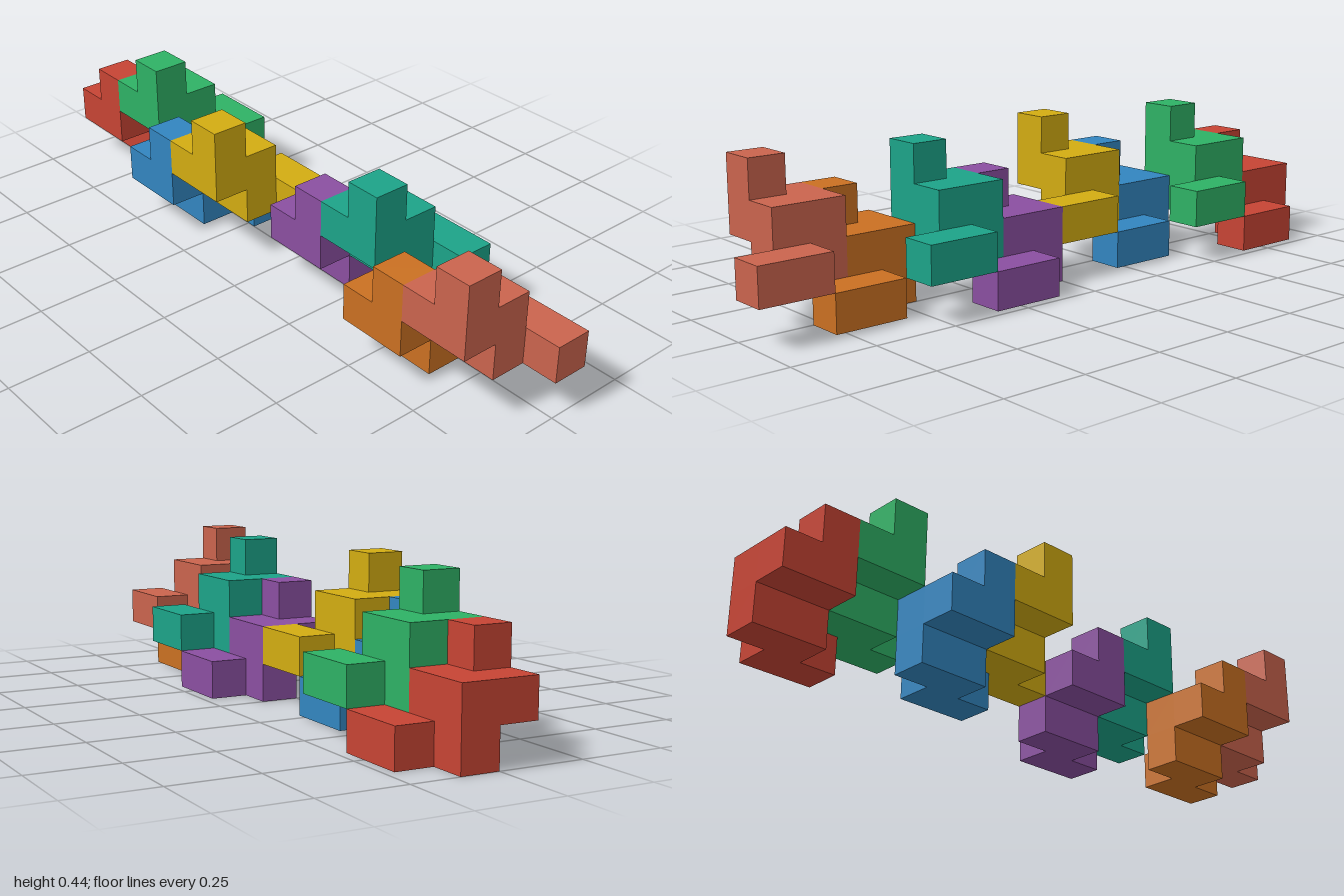
import * as THREE from 'three';
import { mergeGeometries } from 'three/addons/utils/BufferGeometryUtils.js';

const U = 1 / 9; // edge of one cube cell

// Cells of one interlocking piece: [x, y, z]
const CELLS = [
  [1, 0, -2], [2, 0, -2], [0, 0, -1], [1, 0, -1], // foot
  [0, 1, -1], [1, 1, -1], [0, 1, 0], [1, 1, 0],   // body
  [1, 2, 0],                                      // peg
];

// Face directions with the turn (about x, about y) that aims a +z plane there
const H = Math.PI / 2;
const FACES = [
  [[0, 0, 1], 0, 0], [[0, 0, -1], 0, Math.PI],
  [[1, 0, 0], 0, H], [[-1, 0, 0], 0, -H],
  [[0, 1, 0], -H, 0], [[0, -1, 0], H, 0],
];

// Closed shell of the piece: only faces with no neighbouring cell
function pieceGeometry() {
  const filled = new Set(CELLS.map(String));
  const parts = [];
  for (const c of CELLS) {
    for (const [d, rx, ry] of FACES) {
      if (filled.has(String(c.map((v, i) => v + d[i])))) continue;
      parts.push(new THREE.PlaneGeometry(U, U)
        .translate(0, 0, U / 2).rotateX(rx).rotateY(ry)
        .translate(...c.map((v) => (v + 0.5) * U)));
    }
  }
  return mergeGeometries(parts);
}

// Name, colour and cell offset of each piece
const PIECES = [
  ['redPiece', 0xc64434, [-9, 0, 0]],
  ['greenPiece', 0x2eb165, [-7, 1, 0]],
  ['bluePiece', 0x3285bf, [-5, 0, 1]],
  ['yellowPiece', 0xd2ac12, [-3, 1, 1]],
  ['purplePiece', 0x8a4fa0, [0, 0, 0]],
  ['tealPiece', 0x1ca388, [2, 1, 0]],
  ['orangePiece', 0xca7022, [4, 0, 1]],
  ['salmonPiece', 0xca644d, [6, 1, 1]],
];

export function createModel() {
  const model = new THREE.Group();
  model.name = 'interlockingCubePieces';
  const geometry = pieceGeometry();
  for (const [name, color, offset] of PIECES) {
    const mesh = new THREE.Mesh(geometry, new THREE.MeshStandardMaterial({ color }));
    mesh.name = name;
    mesh.position.set(...offset).multiplyScalar(U);
    model.add(mesh);
  }
  return model;
}
